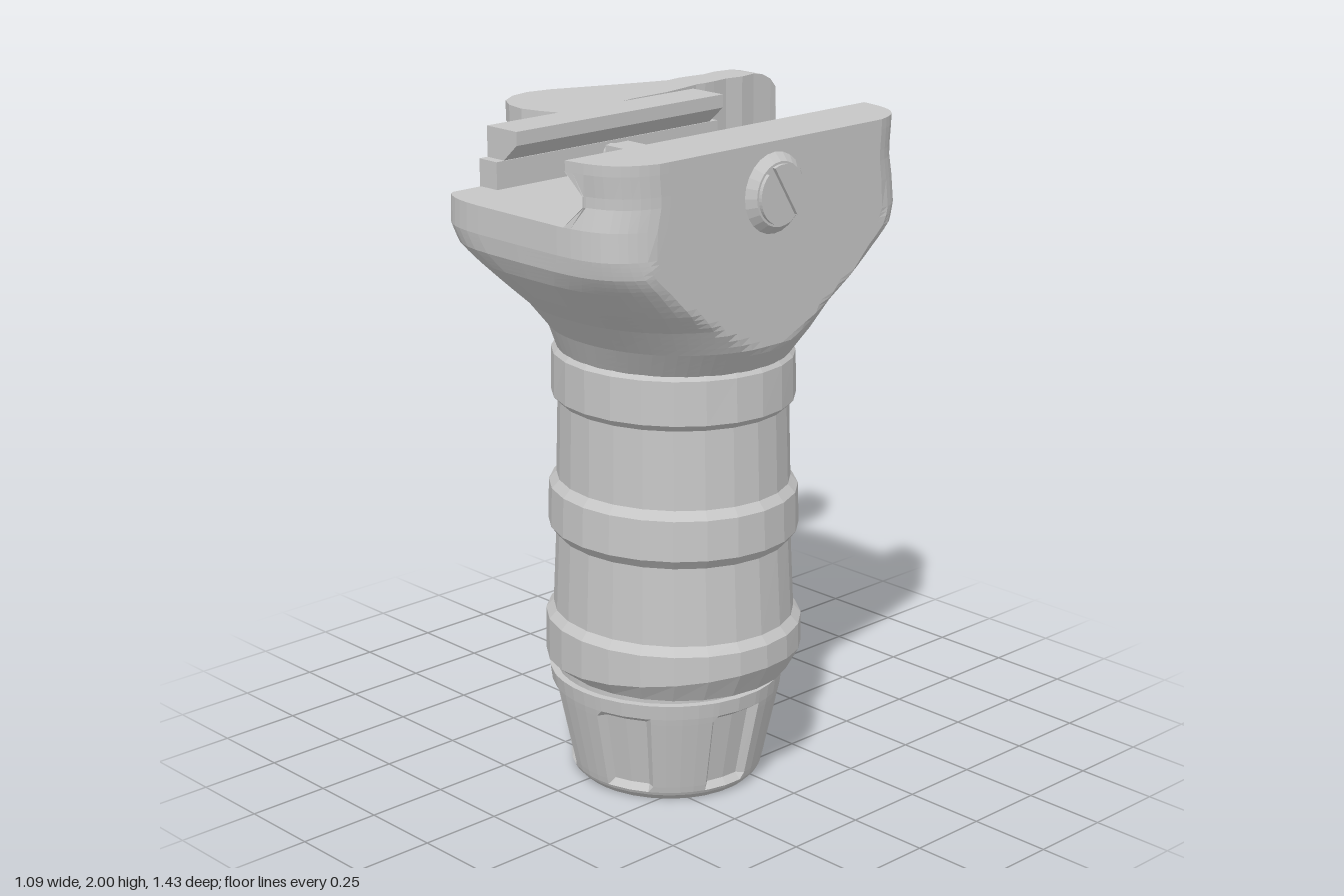
import * as THREE from 'three';

const CX = 0.1, CZ = 0.118;

export function createModel() {
  const model = new THREE.Group();
  const grey = new THREE.MeshStandardMaterial({ color: 0xc6c6c6 });
  grey.name = 'light grey polymer';

  function add(name, geometry, parent = model) {
    const flat = geometry.index ? geometry.toNonIndexed() : geometry;
    flat.computeVertexNormals();
    const mesh = new THREE.Mesh(flat, grey);
    mesh.name = name;
    parent.add(mesh);
    return mesh;
  }

  // Skin over rings of [x, y, z] points, closed at both ends
  function loft(rings) {
    const n = rings[0].length, pos = rings.flat(2), index = [];
    for (let r = 0; r < rings.length - 1; r++) {
      for (let i = 0; i < n; i++) {
        const j = (i + 1) % n, a = r * n + i, b = r * n + j;
        index.push(a, a + n, b, b, a + n, b + n);
      }
    }
    [0, rings.length - 1].forEach((r, end) => {
      const centre = pos.length / 3;
      for (let k = 0; k < 3; k++) pos.push(rings[r].reduce((s, p) => s + p[k], 0) / n);
      for (let i = 0; i < n; i++) {
        const a = r * n + i, b = r * n + (i + 1) % n;
        index.push(centre, end ? b : a, end ? a : b);
      }
    });
    const g = new THREE.BufferGeometry();
    g.setAttribute('position', new THREE.Float32BufferAttribute(pos, 3));
    g.setIndex(index);
    return g;
  }

  // Superellipse ring between bounds, cut off at minX and maxX
  function ring(y, x0, x1, z0, z1, power = 2, count = 24, minX = -9, maxX = 9) {
    const pts = [];
    const bend = v => Math.sign(v) * Math.pow(Math.abs(v), 2 / power);
    for (let i = 0; i < count; i++) {
      const a = (i / count) * Math.PI * 2;
      const x = (x0 + x1) / 2 + bend(Math.cos(a)) * (x1 - x0) / 2;
      const z = (z0 + z1) / 2 + bend(Math.sin(a)) * (z1 - z0) / 2;
      pts.push([Math.min(maxX, Math.max(minX, x)), y, z]);
    }
    return pts;
  }

  // Ribbed grip: [y, half width in x, half depth in z]
  const gripRows = [
    [0.36, 0.355, 0.34], [0.36, 0.398, 0.37], [0.51, 0.396, 0.37], [0.535, 0.373, 0.347],
    [0.77, 0.36, 0.338], [0.8, 0.383, 0.362], [0.92, 0.38, 0.358], [0.945, 0.358, 0.335],
    [1.18, 0.35, 0.33], [1.2, 0.37, 0.348], [1.33, 0.367, 0.347], [1.35, 0.353, 0.33],
  ];
  const gripRings = gripRows.map(([y, w, d]) => ring(y, CX - w, CX + w, CZ - d, CZ + d));
  // The lower lip of the bottom rib rises towards one side
  gripRings[1].forEach((p, i) => {
    const t = (1 + Math.cos(i / 24 * Math.PI * 2)) / 2;
    p[1] += 0.015 + 0.065 * t * t;
  });
  add('grip', loft(gripRings));

  // Mount body: flares from the grip to a flat deck, with an undercut jaw on one side
  const bodyRows = [
    // y, x0, x1, z0, z1, power, minX
    [1.34, -0.25, 0.455, -0.21, 0.45, 2, -0.31],
    [1.42, -0.255, 0.51, -0.25, 0.49, 2.1, -0.31],
    [1.5, -0.285, 0.54, -0.31, 0.55, 2.3, -0.31],
    [1.56, -0.305, 0.56, -0.37, 0.61, 2.6, -0.31],
    [1.64, -0.31, 0.56, -0.445, 0.685, 3.2, -0.31],
    [1.69, -0.31, 0.545, -0.475, 0.71, 4.2, -0.31],
    [1.74, -0.31, 0.53, -0.48, 0.715, 5, -0.29],
    [1.82, -0.31, 0.525, -0.475, 0.712, 5, -0.235],
    [1.82, -0.31, 0.525, -0.475, 0.712, 5, 0.3],
    [1.88, -0.31, 0.525, -0.462, 0.695, 5, 0.36],
    [1.91, -0.31, 0.525, -0.462, 0.695, 5, 0.36],
    [1.97, -0.31, 0.525, -0.468, 0.702, 5, 0.298],
    [2.0, -0.31, 0.525, -0.468, 0.702, 5, 0.298],
  ];
  // Finer steps through the flare keep the edge of the flat cheek even
  const fineRows = bodyRows.flatMap((row, i) => i > 5 ? [row] : [0, 0.25, 0.5, 0.75].map(t =>
    row.map((v, k) => THREE.MathUtils.lerp(v, bodyRows[i + 1][k], t))));
  add('mountBody', loft(fineRows.map(([y, x0, x1, z0, z1, p, minX]) =>
    ring(y, x0, x1, z0, z1, p, 64, minX, 0.505))));

  // End cap with six recessed windows
  const offsets = [-30, -22, -14.5, -11.5, 0, 11.5, 14.5, 22];
  const capRows = [
    [0, 0.265, 0], [0.02, 0.285, 0], [0.03, 0.29, 0], [0.05, 0.295, 0.022],
    [0.27, 0.342, 0.026], [0.29, 0.346, 0], [0.335, 0.352, 0], [0.335, 0.33, 0], [0.38, 0.33, 0],
  ];
  add('endCap', loft(capRows.map(([y, r, recess]) => {
    const pts = [];
    for (let k = 0; k < 6; k++) {
      for (const o of offsets) {
        const a = THREE.MathUtils.degToRad(k * 60 + o + 6.5);
        const rr = r - (Math.abs(o) < 12 ? recess : 0);
        pts.push([0.07 + rr * 1.02 * Math.cos(a), y, 0.12 + rr * 0.98 * Math.sin(a)]);
      }
    }
    return pts;
  })));

  // Boxes given by their bounds
  function box(name, x0, x1, y0, y1, z0, z1) {
    const g = new THREE.BoxGeometry(x1 - x0, y1 - y0, z1 - z0);
    g.translate((x0 + x1) / 2, (y0 + y1) / 2, (z0 + z1) / 2);
    add(name, g);
  }

  // Sliding clamp bar with an undercut lip
  const clamp = new THREE.Shape([
    [-0.24, 1.82], [-0.18, 1.82], [-0.18, 1.89], [-0.112, 1.95], [-0.112, 1.99], [-0.24, 1.99],
  ].map(p => new THREE.Vector2(...p)));
  const clampGeo = new THREE.ExtrudeGeometry(clamp, { depth: 0.81, bevelEnabled: false });
  add('clampBar', clampGeo.translate(0, 0, -0.29));
  box('clampTab', -0.24, -0.165, 1.8, 1.9, -0.32, 0.55);

  // Cross bolt and its slotted head
  box('crossBolt', -0.14, 0.285, 1.821, 1.897, 0.07, 0.16);
  const shaft = new THREE.CylinderGeometry(0.033, 0.033, 0.76, 16);
  add('boltShaft', shaft.rotateZ(Math.PI / 2).translate(0.02, 1.86, 0.115));
  const head = new THREE.Group();
  head.name = 'screwHead';
  head.position.set(0.505, 1.855, 0.118);
  head.rotation.y = Math.PI / 2;
  model.add(head);
  const baseGeo = new THREE.CylinderGeometry(0.092, 0.115, 0.024, 24);
  add('screwBase', baseGeo.rotateX(Math.PI / 2).translate(0, 0, 0.012), head);
  for (const turn of [0, Math.PI]) {
    const half = new THREE.Shape().absarc(0, 0, 0.085, 0.16, Math.PI - 0.16, false);
    const g = new THREE.ExtrudeGeometry(half, { depth: 0.011, bevelEnabled: false });
    add('screwHalf', g.translate(0, 0, 0.024), head).rotation.z = turn + 2.13;
  }

  // Quick-release lever: outlines are in plan, as [x, z]
  function slab(name, outline, y0, y1) {
    const shape = new THREE.Shape(outline.map(p => new THREE.Vector2(...p)));
    const g = new THREE.ExtrudeGeometry(shape, { depth: y1 - y0, bevelEnabled: false });
    add(name, g.rotateX(Math.PI / 2).translate(0, y1, 0));
  }
  const bulb = [
    [-0.24, 0.25], [-0.3, 0.275], [-0.36, 0.29], [-0.43, 0.277], [-0.49, 0.24], [-0.53, 0.18],
    [-0.545, 0.11], [-0.53, 0.03], [-0.49, -0.07], [-0.45, -0.17], [-0.41, -0.28], [-0.39, -0.34],
    [-0.28, -0.34], [-0.255, -0.2], [-0.25, -0.05], [-0.24, 0],
  ];
  slab('leverUpperPlate', bulb, 1.93, 1.99);
  slab('leverLowerPlate', bulb, 1.7, 1.765);
  slab('leverLowerFinger', [[-0.43, -0.2], [-0.438, -0.33], [-0.425, -0.35], [-0.395, -0.3], [-0.39, -0.2]], 1.7, 1.765);
  box('leverWeb', -0.375, -0.29, 1.765, 1.93, -0.34, -0.1);

  // Wavy finger tab, rounded off towards its tip: [half width, z, half height]
  const tabRows = [
    [0.055, -0.34, 0.145], [0.06, -0.38, 0.145], [0.058, -0.42, 0.145], [0.05, -0.48, 0.145],
    [0.06, -0.54, 0.145], [0.05, -0.6, 0.145], [0.05, -0.64, 0.138], [0.05, -0.675, 0.12],
    [0.048, -0.7, 0.092], [0.035, -0.715, 0.055],
  ];
  add('leverTab', loft(tabRows.map(([w, z, h]) =>
    [[w, -h], [w, h], [-w, h], [-w, -h]].map(([x, y]) => [-0.34 + x, 1.845 + y, z]))));

  // Barrel nut held between the lever plates
  const nut = [[0.105, 1.765], [0.12, 1.79], [0.125, 1.845], [0.12, 1.9], [0.105, 1.93]];
  add('barrelNut', loft(nut.map(([r, y]) => ring(y, -0.365 - r, -0.365 + r, 0.115 - r, 0.115 + r, 2, 20))));

  return model;
}
